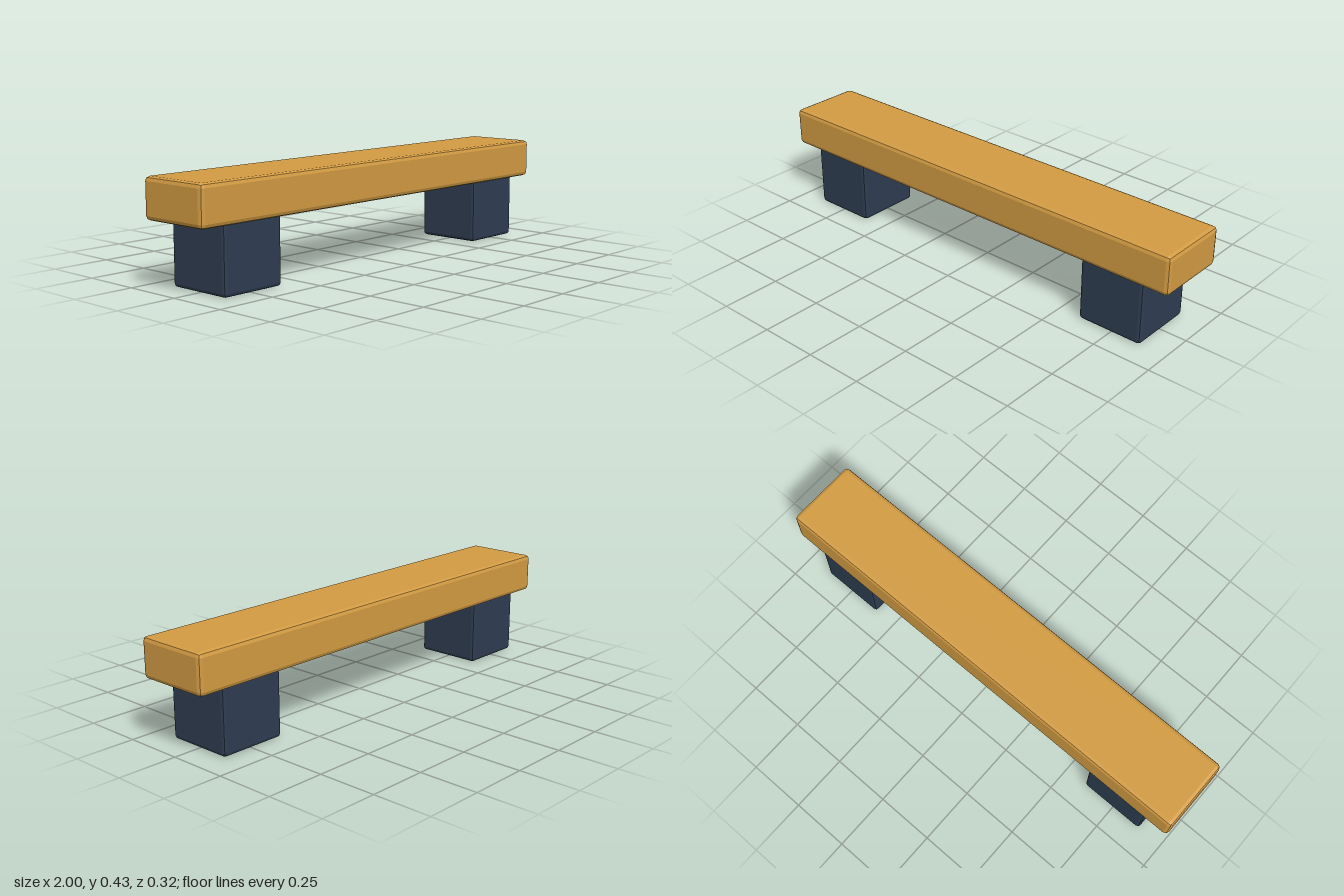
import * as THREE from 'three';
import { RoundedBoxGeometry } from 'three/addons/geometries/RoundedBoxGeometry.js';

// Box with small faceted bevels, given by its base height
function bevelledBox(name, material, [w, h, d], bevel, x, bottom) {
  const geometry = new RoundedBoxGeometry(w, h, d, 1, bevel);
  geometry.computeVertexNormals(); // non-indexed, so facets become flat
  const mesh = new THREE.Mesh(geometry, material);
  mesh.name = name;
  mesh.position.set(x, bottom + h / 2, 0);
  return mesh;
}

export function createModel() {
  const wood = new THREE.MeshStandardMaterial({ color: 0xd29b43 });
  wood.name = 'goldenWood';
  const slate = new THREE.MeshStandardMaterial({ color: 0x2e3d51 });
  slate.name = 'darkSlate';

  const bench = new THREE.Group();
  bench.name = 'bench';

  // Long seat beam
  bench.add(bevelledBox('seat', wood, [2, 0.165, 0.32], 0.018, 0, 0.266));

  // Block legs, tops tucked slightly into the seat
  for (const [name, side] of [['leftLeg', 1], ['rightLeg', -1]]) {
    bench.add(bevelledBox(name, slate, [0.287, 0.285, 0.29], 0.014, side * 0.742, 0));
  }
  return bench;
}
